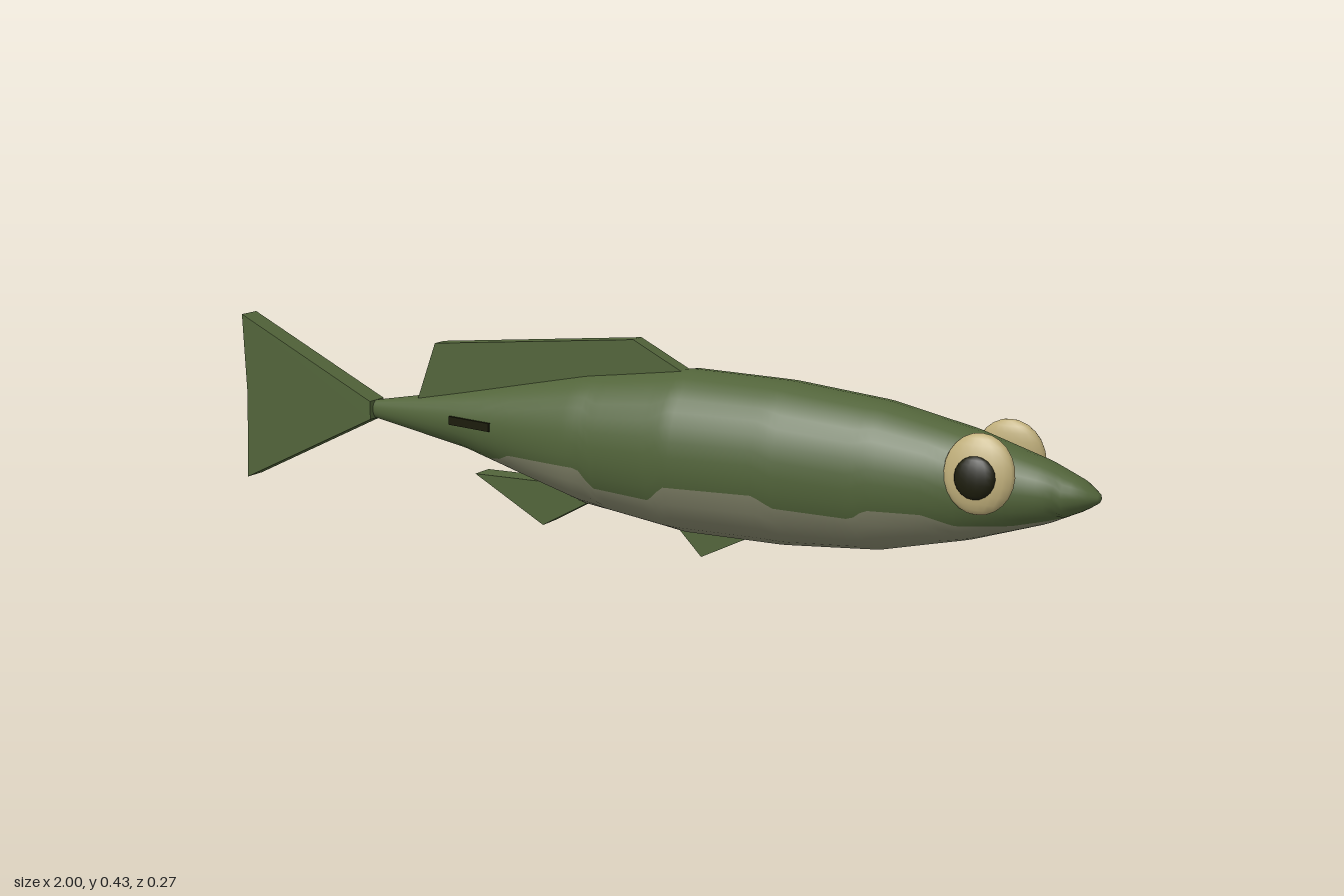
import * as THREE from 'three';

const mat = (name, color) => {
  const m = new THREE.MeshStandardMaterial({ color });
  m.name = name;
  return m;
};

// Linear interpolation in a table of rows whose first entry is x
function sample(rows, x, col) {
  let i = 0;
  while (i < rows.length - 2 && x > rows[i + 1][0]) i++;
  const a = rows[i], b = rows[i + 1];
  const t = THREE.MathUtils.clamp((x - a[0]) / (b[0] - a[0]), 0, 1);
  return a[col] + (b[col] - a[col]) * t;
}

// Body sections: x, bottom, top, half width
const SECTIONS = [
  [-0.65, 0.2, 0.24, 0.015], [-0.4, 0.16, 0.287, 0.06], [-0.1, 0.078, 0.35, 0.111],
  [0.14, 0.048, 0.384, 0.136], [0.36, 0.05, 0.381, 0.131], [0.57, 0.068, 0.362, 0.116],
  [0.75, 0.112, 0.325, 0.092], [0.9, 0.162, 0.28, 0.058], [0.97, 0.195, 0.25, 0.032],
  [0.995, 0.212, 0.23, 0.012],
];

// Upper edge of the pale belly: x, y
const BELLY_EDGE = [
  [-0.65, 0.203], [-0.45, 0.176], [-0.34, 0.15], [-0.29, 0.16], [-0.26, 0.173], [-0.07, 0.175],
  [-0.04, 0.135], [0.1, 0.13], [0.14, 0.165], [0.34, 0.172], [0.38, 0.15], [0.54, 0.146],
  [0.57, 0.168], [0.68, 0.17], [0.74, 0.152], [0.84, 0.158], [0.93, 0.179], [0.945, 0.17],
];

// Lofted body; each ring has a belly arc followed by a back arc
function bodyGeometry() {
  const rings = 110, low = 10, high = 20, n = low + high;
  const pos = [], belly = [], back = [];
  for (let i = 0; i <= rings; i++) {
    const x = -0.65 + (1.645 * i) / rings;
    const bottom = sample(SECTIONS, x, 1), top = sample(SECTIONS, x, 2), rz = sample(SECTIONS, x, 3);
    const cy = (bottom + top) / 2, ry = (top - bottom) / 2;
    const c = THREE.MathUtils.clamp((cy - sample(BELLY_EDGE, x, 1)) / ry, -1, 0.9999);
    const edge = Math.acos(c);
    for (let k = 0; k < n; k++) {
      const a = k < low
        ? -edge + (2 * edge * k) / low
        : edge + ((2 * Math.PI - 2 * edge) * (k - low)) / high;
      pos.push(x, cy - ry * Math.cos(a), rz * Math.sin(a));
    }
  }
  for (let i = 0; i < rings; i++) {
    for (let k = 0; k < n; k++) {
      const a = i * n + k, b = i * n + ((k + 1) % n);
      (k < low ? belly : back).push(a, a + n, b, b, a + n, b + n);
    }
  }
  // Rounded nose tip
  const tip = pos.length / 3;
  pos.push(1, 0.221, 0);
  for (let k = 0; k < n; k++) back.push(tip, rings * n + ((k + 1) % n), rings * n + k);

  const g = new THREE.BufferGeometry();
  g.setAttribute('position', new THREE.Float32BufferAttribute(pos, 3));
  g.setIndex([...belly, ...back]);
  g.addGroup(0, belly.length, 0);
  g.addGroup(belly.length, back.length, 1);
  g.computeVertexNormals();
  return g;
}

export function createModel() {
  const green = mat('olive green', 0x52643a);
  const pale = mat('pale belly', 0x83846a);
  const cream = mat('eye cream', 0xbfae7a);
  const dark = mat('dark pupil', 0x1c1c0c);

  const fish = new THREE.Group();
  fish.name = 'fish';
  const add = (name, geometry, material) => {
    const m = new THREE.Mesh(geometry, material);
    m.name = name;
    fish.add(m);
    return m;
  };

  add('body', bodyGeometry(), [pale, green]);

  // Fins: flat outlines with a square edge
  const fin = (name, points, half) => {
    const shape = new THREE.Shape(points.map(([x, y]) => new THREE.Vector2(x, y)));
    const g = new THREE.ExtrudeGeometry(shape, { depth: half * 2, bevelEnabled: false });
    add(name, g.translate(0, 0, -half), green);
  };
  fin('tailFin', [[-0.65, 0.2], [-0.65, 0.24], [-1, 0.404], [-0.992, 0.22], [-1, 0.03]], 0.025);
  fin('dorsalFin', [[-0.53, 0.25], [0, 0.3], [0.13, 0.375], [0.01, 0.434], [-0.48, 0.383]], 0.017);
  fin('analFin', [[-0.375, 0.111], [-0.205, 0.02], [-0.08, 0.09], [-0.15, 0.115]], 0.025);
  fin('pelvicFin', [[0.1, 0.07], [0.17, 0], [0.29, 0.06]], 0.017);

  // Bulging eyes, pupils and the narrow side marks
  for (const s of [1, -1]) {
    const side = s > 0 ? 'left' : 'right';
    // The model's front is +z, so z mirrors the flanks of the body
    const eye = add(`eye ${side}`, new THREE.SphereGeometry(1, 18, 12), cream);
    eye.scale.set(0.071, 0.077, 0.026);
    eye.position.set(0.79, 0.26, s * 0.082);
    eye.rotation.x = -s * 0.12;

    const pupil = add(`pupil ${side}`, new THREE.SphereGeometry(1, 14, 10), dark);
    pupil.scale.set(0.041, 0.041, 0.014);
    pupil.position.set(0.79, 0.257, s * 0.104);
    pupil.rotation.x = -s * 0.12;

    const mark = add(`sideMark ${side}`, new THREE.BoxGeometry(0.115, 0.018, 0.008), dark);
    mark.position.set(-0.36, 0.229, s * 0.067);
    mark.rotation.y = -s * 0.17;
  }
  return fish;
}
